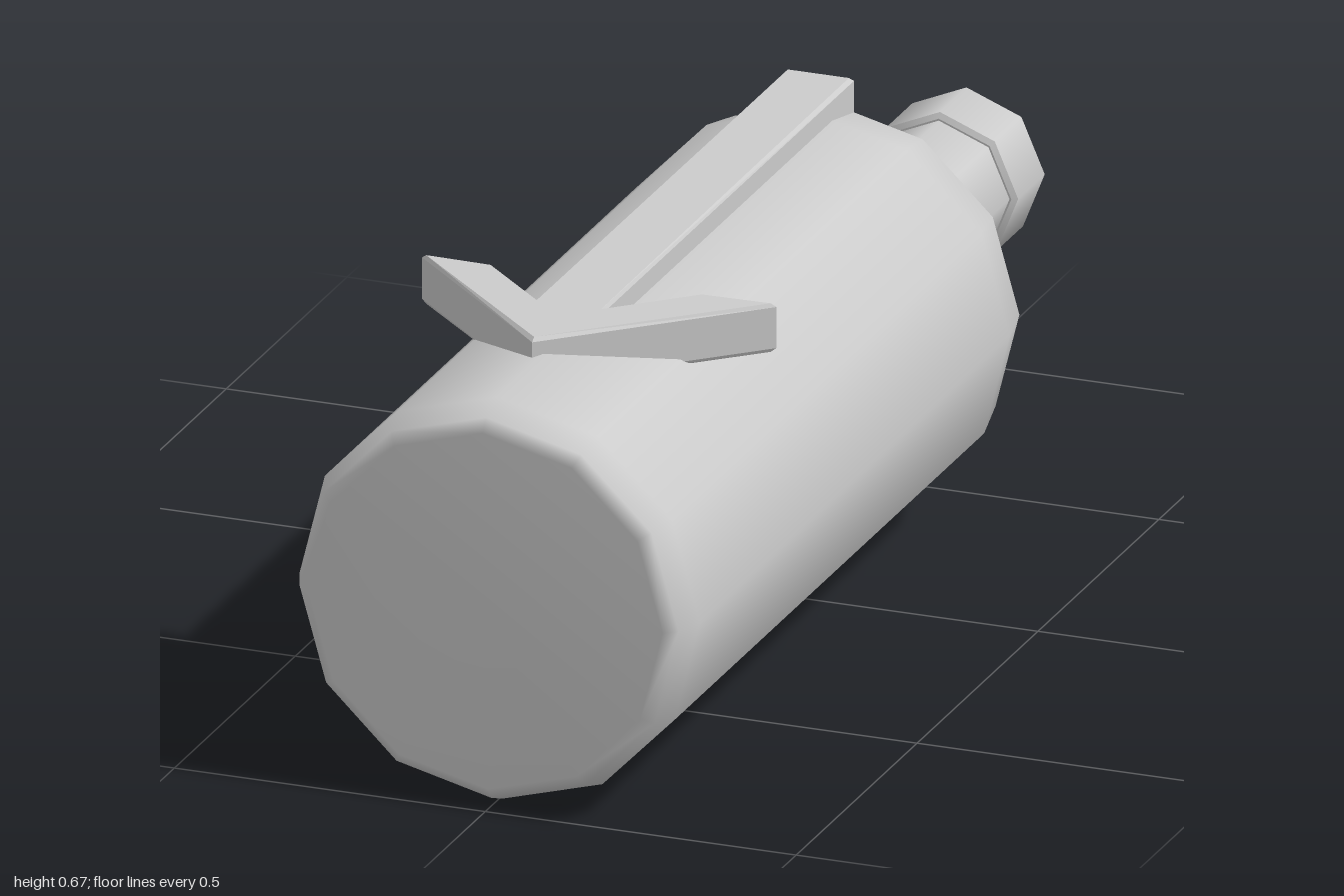
import * as THREE from 'three';

const AXIS_Y = 0.321;
const material = new THREE.MeshStandardMaterial({ color: 0xcccccc });

// Turned part lying along z; profile is [radius, z] pairs from front to back.
function turned(name, profile, sides) {
  const points = profile.map(([r, z]) => new THREE.Vector2(r, -z));
  const geometry = new THREE.LatheGeometry(points, sides);
  geometry.rotateY(-0.015).rotateX(-Math.PI / 2);
  const mesh = new THREE.Mesh(geometry, material);
  mesh.name = name;
  mesh.position.y = AXIS_Y;
  return mesh;
}

// Flat arrow with softened edges, its lower half sunk into the bottle.
function arrow() {
  const outline = [
    [-0.018, 0.76], [0.27, 0.49], [0.15, 0.49], [0.037, 0.6],
    [0.037, -0.43], [-0.073, -0.43], [-0.073, 0.6], [-0.185, 0.49], [-0.3, 0.49],
  ];
  const shape = new THREE.Shape(outline.map(([x, z]) => new THREE.Vector2(x, -z)));
  const bevel = 0.006;
  const geometry = new THREE.ExtrudeGeometry(shape, {
    depth: 0.078 - 2 * bevel,
    bevelSize: bevel,
    bevelOffset: -bevel,
    bevelThickness: bevel,
    bevelSegments: 1,
  });
  geometry.rotateX(-Math.PI / 2);
  const mesh = new THREE.Mesh(geometry, material);
  mesh.name = 'arrow';
  mesh.position.y = 0.592 + bevel;
  return mesh;
}

export function createModel() {
  const group = new THREE.Group();
  group.name = 'bottle';

  // Twelve-sided body with a rounded base edge and shoulder
  group.add(turned('body', [
    [0, 1], [0.285, 1], [0.305, 0.985], [0.322, 0.94],
    [0.322, -0.34], [0.303, -0.43], [0.25, -0.51], [0.2, -0.55],
    [0.15, -0.58], [0.113, -0.64], [0.1, -0.7],
  ], 12));

  // Eight-sided neck and cap
  group.add(turned('neck', [[0.135, -0.58], [0.115, -0.64], [0.112, -0.7], [0.112, -0.9]], 8));
  group.add(turned('cap', [
    [0, -0.88], [0.115, -0.88], [0.115, -0.88], [0.124, -0.885], [0.124, -0.885],
    [0.124, -0.995], [0.124, -0.995], [0.118, -1], [0, -1],
  ], 8));

  group.add(arrow());
  return group;
}
